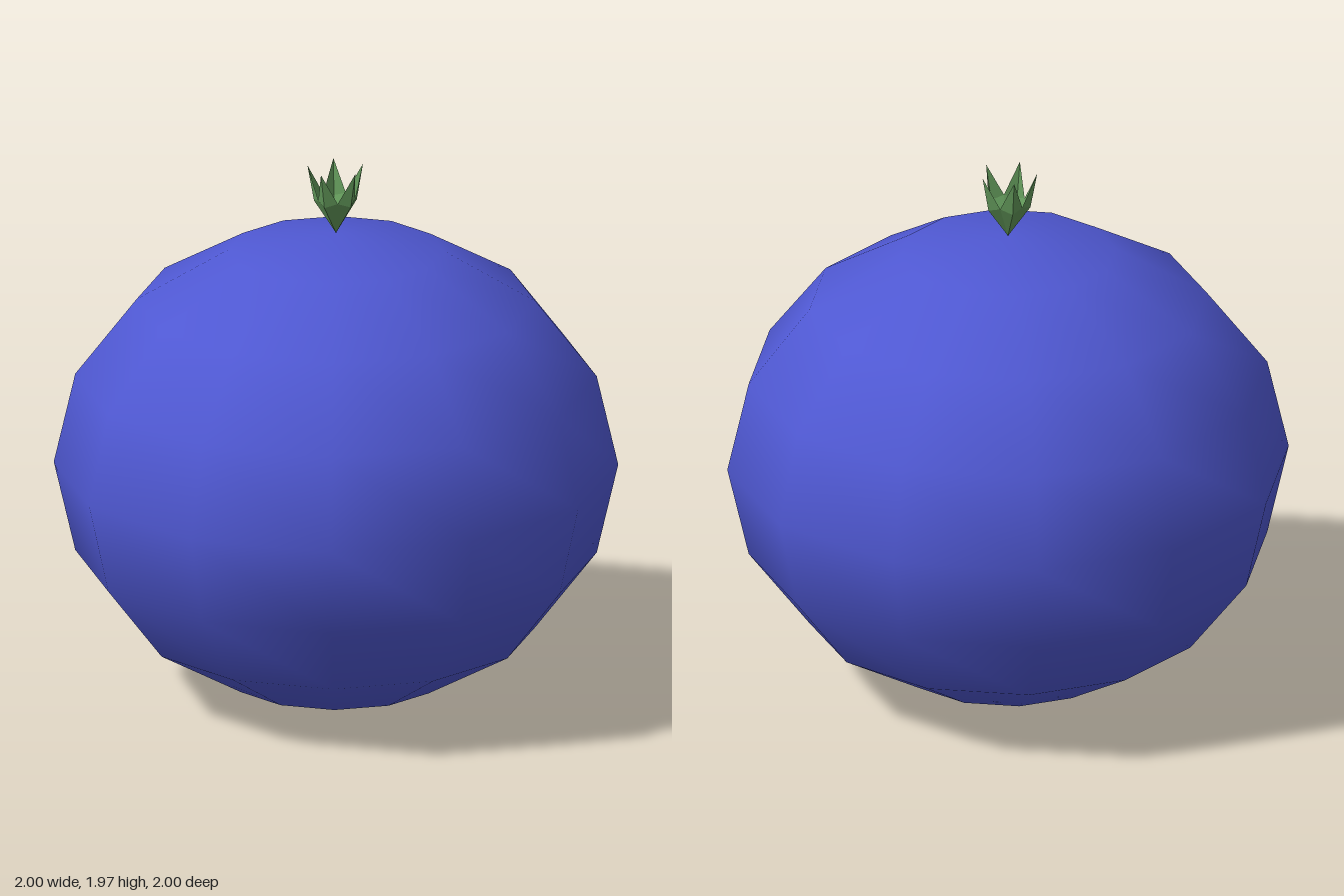
import * as THREE from 'three';

const berryBlue = new THREE.MeshStandardMaterial({ color: 0x4f58d2 });
berryBlue.name = 'berryBlue';
const leafGreen = new THREE.MeshStandardMaterial({ color: 0x62985a, flatShading: true, side: THREE.DoubleSide });
leafGreen.name = 'leafGreen';

// Kite-shaped leaf leaning out along +z, folded along an outer ridge
function leafGeometry() {
  const base = [0, 0, 0];
  const right = [-0.04, 0.13, 0.055];
  const left = [0.04, 0.13, 0.055];
  const ridge = [0, 0.115, 0.08];
  const tip = [0, 0.245, 0.104];
  const faces = [base, left, ridge, base, ridge, right, ridge, left, tip, ridge, tip, right];
  const geometry = new THREE.BufferGeometry();
  geometry.setAttribute('position', new THREE.Float32BufferAttribute(faces.flat(), 3));
  geometry.computeVertexNormals();
  return geometry;
}

export function createModel() {
  const model = new THREE.Group();
  model.name = 'berry';

  // Slightly squashed, smooth-shaded round body
  const bodyGeometry = new THREE.SphereGeometry(1, 12, 8);
  bodyGeometry.scale(1, 0.86, 1);
  const body = new THREE.Mesh(bodyGeometry, berryBlue);
  body.name = 'body';
  body.position.y = 0.86;
  model.add(body);

  // Crown of five leaves, one facing the front
  const crown = new THREE.Group();
  crown.name = 'crown';
  crown.position.y = 1.72;
  const geometry = leafGeometry();
  for (let i = 0; i < 5; i++) {
    const leaf = new THREE.Mesh(geometry, leafGreen);
    leaf.name = 'leaf';
    leaf.rotation.y = (i / 5) * Math.PI * 2;
    crown.add(leaf);
  }
  model.add(crown);
  return model;
}
